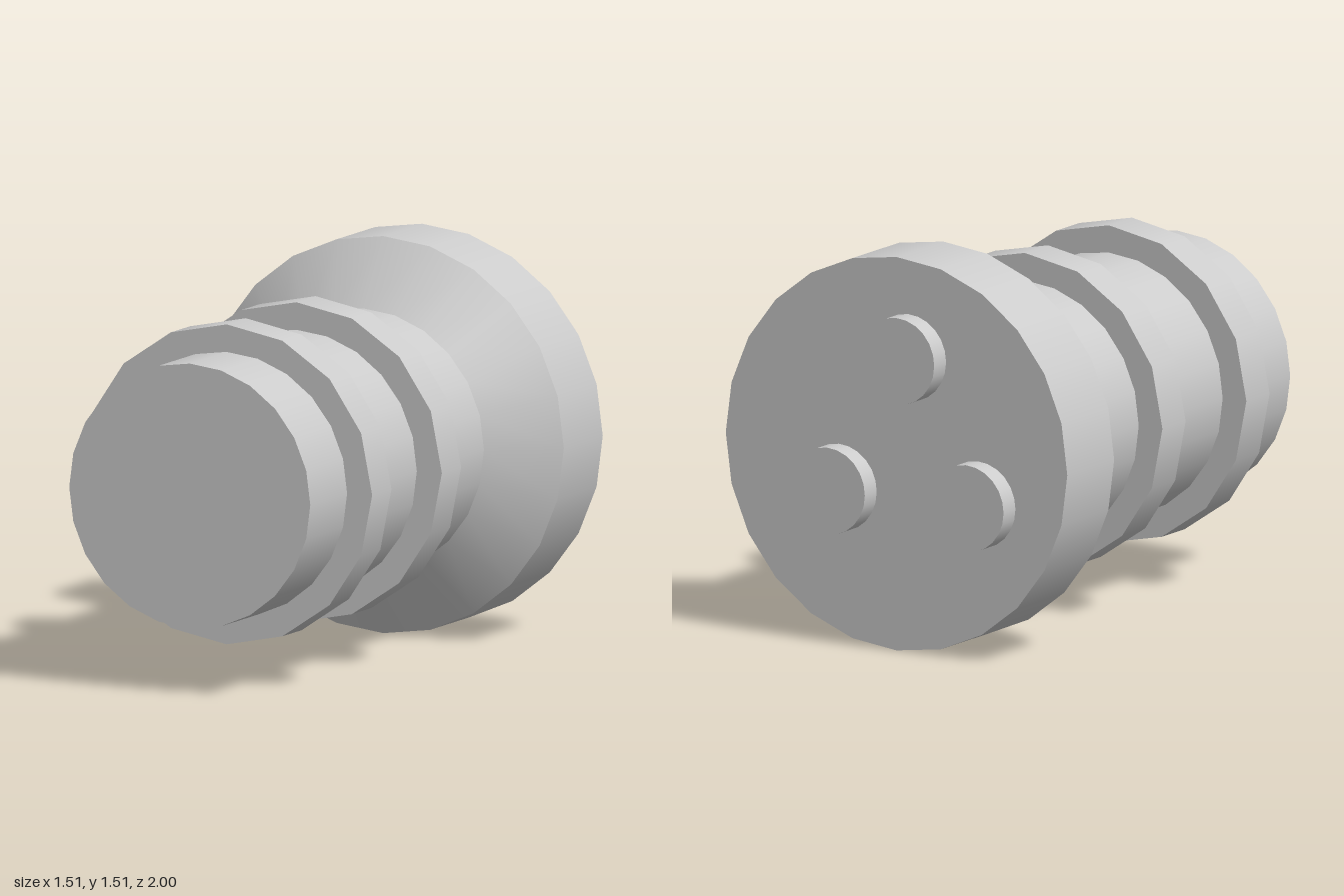
import * as THREE from 'three';

export function createModel() {
  const model = new THREE.Group();
  const grey = new THREE.MeshStandardMaterial({ color: 0xcccccc });
  grey.name = 'light grey';

  const axisY = 0.757; // height of the long axis
  const lipZ = -1, floorZ = -0.915;

  function add(name, geometry, x, y, z) {
    const mesh = new THREE.Mesh(geometry, grey);
    mesh.name = name;
    mesh.position.set(x, axisY + y, z);
    model.add(mesh);
    return mesh;
  }

  // Cylinder or cone lying along z, from zBack to zFront
  function barrel(name, rFront, rBack, zFront, zBack, sides, open = false, x = 0, y = 0) {
    const g = new THREE.CylinderGeometry(rFront, rBack, zFront - zBack, sides, 1, open);
    g.rotateX(Math.PI / 2);
    return add(name, g, x, y, (zFront + zBack) / 2);
  }

  // Main shaft
  barrel('shaft', 0.505, 0.505, 1, -0.55, 24);

  // Two raised collars, coarser than the shaft
  for (const z of [0.6, 0]) barrel('collar', 0.61, 0.61, z + 0.083, z - 0.083, 16);

  // Flared head: cone, outer wall and rear lip
  barrel('headCone', 0.505, 0.757, -0.495, -0.665, 24, true);
  barrel('headWall', 0.757, 0.757, -0.665, lipZ, 24, true);
  add('headLip', new THREE.RingGeometry(0.637, 0.757, 24).rotateY(Math.PI), 0, 0, lipZ);

  // Sunken floor reaching under the lip
  add('headFloor', new THREE.CircleGeometry(0.757, 24).rotateY(Math.PI), 0, 0, floorZ);

  // Three studs on the floor, flush with the lip
  for (let i = 0; i < 3; i++) {
    const a = Math.PI / 2 + (i * Math.PI * 2) / 3;
    barrel('stud', 0.167, 0.167, floorZ, lipZ, 24, false, 0.355 * Math.cos(a), 0.355 * Math.sin(a));
  }

  return model;
}
